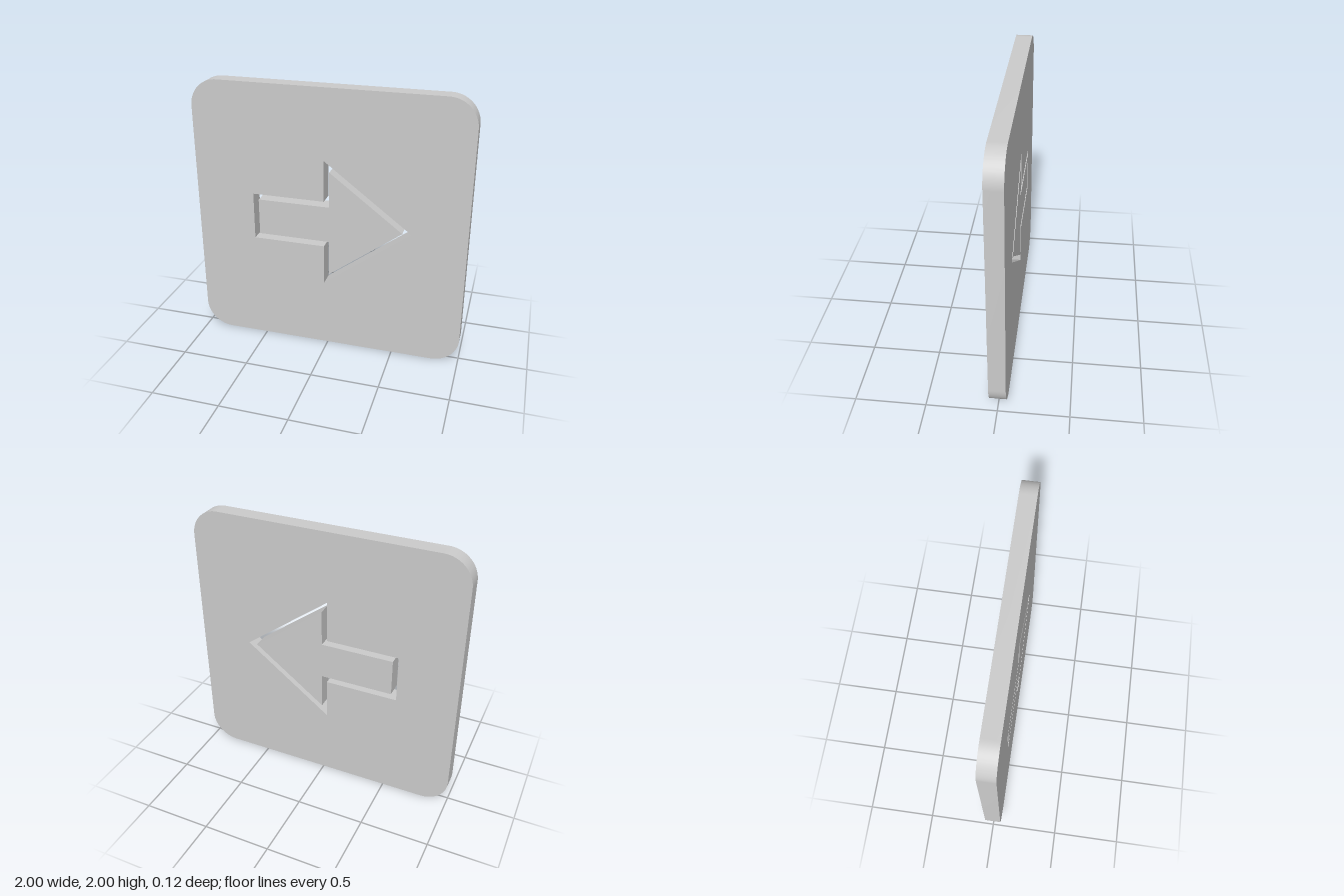
import * as THREE from 'three';
import { toCreasedNormals } from 'three/addons/utils/BufferGeometryUtils.js';

const DEPTH = 0.12;

// Right-pointing arrow outline, mirrored about y = 1
function arrowPoints(tail, shaftHalf, neck, headHalf, tip) {
  const upper = [[tail, shaftHalf], [neck, shaftHalf], [neck, headHalf]];
  const lower = upper.map(([x, y]) => [x, -y]).reverse();
  return [...upper, [tip, 0], ...lower].map(([x, y]) => new THREE.Vector2(x, 1 + y));
}

// Square with rounded corners, standing on y = 0
function roundedSquare(half, r) {
  const s = new THREE.Shape();
  const c = half - r;
  [[c, c], [-c, c], [-c, -c], [c, -c]].forEach(([x, y], i) => {
    s.absarc(x, 1 + y, r, i * Math.PI / 2, (i + 1) * Math.PI / 2, false);
  });
  s.closePath();
  return s;
}

function slab(name, shape) {
  const geo = new THREE.ExtrudeGeometry(shape, { depth: DEPTH, bevelEnabled: false, curveSegments: 16 });
  geo.translate(0, 0, -DEPTH / 2);
  const mesh = new THREE.Mesh(
    toCreasedNormals(geo, Math.PI / 6),
    new THREE.MeshStandardMaterial({ color: 0xcccccc })
  );
  mesh.name = name;
  return mesh;
}

export function createModel() {
  const group = new THREE.Group();
  group.name = 'arrowSign';

  // Plate with an arrow-shaped cutout
  const plate = roundedSquare(1, 0.2);
  plate.holes.push(new THREE.Path(arrowPoints(-0.563, 0.177, -0.028, 0.483, 0.61)));
  group.add(slab('plate', plate));

  // Smaller arrow, flush with the plate, leaving an even gap all round
  group.add(slab('arrow', new THREE.Shape(arrowPoints(-0.523, 0.136, 0.012, 0.402, 0.544))));

  return group;
}
